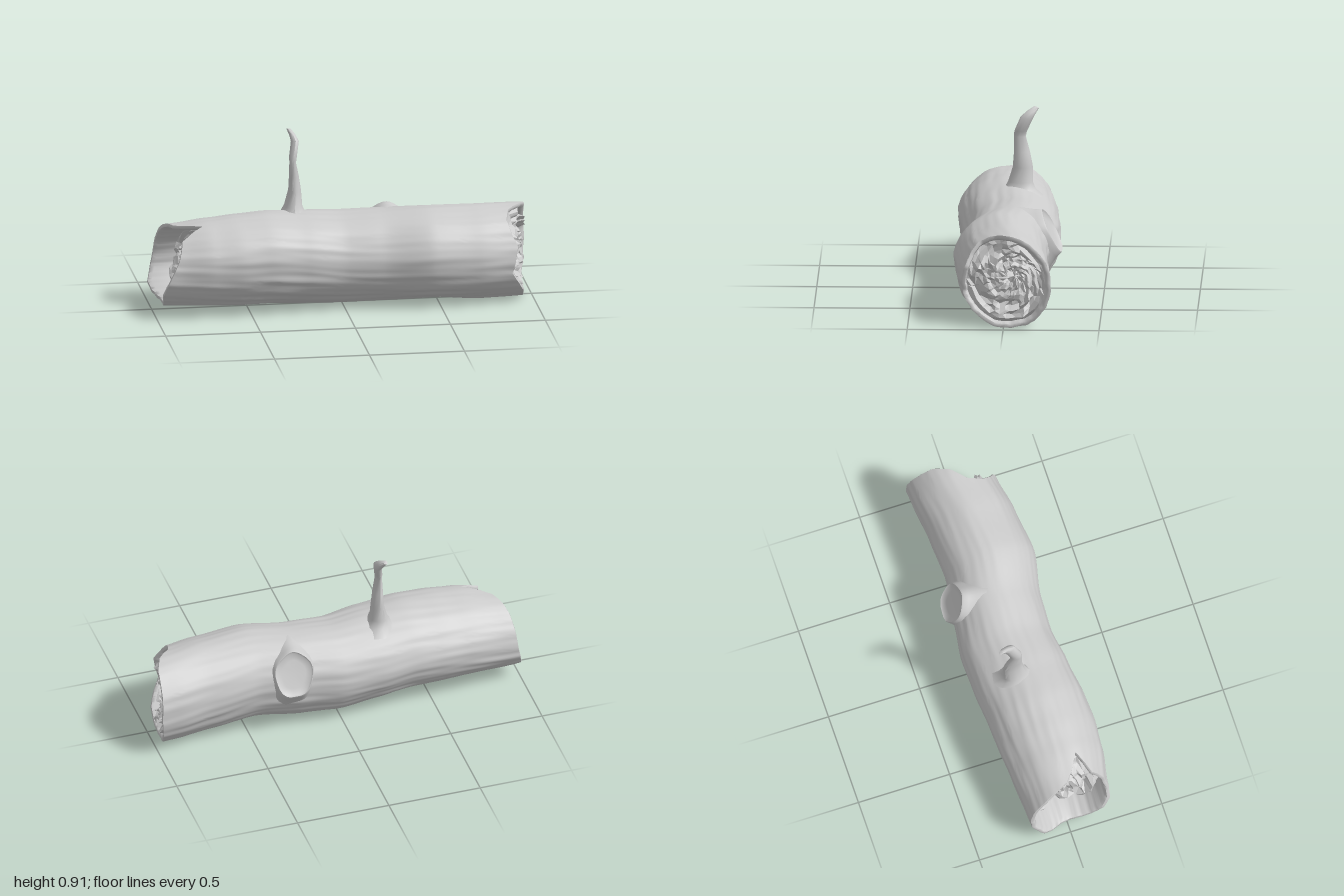
import * as THREE from 'three';
import { toCreasedNormals } from 'three/addons/utils/BufferGeometryUtils.js';

const { sin, cos, PI, floor, abs, pow } = Math;
const lerp = THREE.MathUtils.lerp;

// Trunk stations: x, centre y, centre z, half height, half depth
const stations = [
  [-1.05, 0.245, 0.01, 0.2, 0.21], [-0.9, 0.25, 0.015, 0.212, 0.225], [-0.7, 0.262, 0.024, 0.228, 0.25],
  [-0.55, 0.268, 0.022, 0.236, 0.261], [-0.4, 0.273, 0.014, 0.24, 0.26], [-0.2, 0.262, -0.006, 0.24, 0.257],
  [0, 0.25, -0.025, 0.24, 0.247], [0.2, 0.255, -0.012, 0.24, 0.238], [0.45, 0.267, 0.028, 0.24, 0.242],
  [0.7, 0.254, 0.012, 0.244, 0.236], [0.9, 0.248, -0.015, 0.243, 0.23], [1.05, 0.245, -0.03, 0.238, 0.225],
];

// Torn ends: angle in degrees (0 front, 90 top, 180 back, 270 bottom) and x of the edge
const leftEdge = [[0, -0.92], [20, -0.885], [35, -0.87], [50, -0.86], [62, -0.8], [70, -0.75], [80, -0.84],
  [90, -0.89], [110, -0.925], [128, -0.945], [150, -0.955], [180, -0.965], [205, -0.985], [222, -1],
  [238, -0.985], [255, -0.955], [270, -0.945], [300, -0.955], [325, -0.965], [342, -0.95], [360, -0.92]];
const rightEdge = [[0, 0.885], [18, 0.9], [35, 0.87], [55, 0.85], [75, 0.87], [92, 0.94], [112, 0.975],
  [150, 0.985], [180, 0.995], [215, 0.98], [250, 0.955], [280, 0.95], [310, 0.94], [328, 0.91],
  [345, 0.87], [360, 0.885]];

// Piecewise lookup of any number of columns, optionally eased
function lookup(table, t, ease) {
  let i = 0;
  while (i < table.length - 2 && t > table[i + 1][0]) i++;
  const [a, b] = [table[i], table[i + 1]];
  let k = THREE.MathUtils.clamp((t - a[0]) / (b[0] - a[0]), 0, 1);
  if (ease) k = lerp(k, k * k * (3 - 2 * k), 0.6);
  return a.slice(1).map((v, c) => lerp(v, b[c + 1], k));
}
const edgeAt = (table, a) => lookup(table, ((a * 180 / PI) + 360) % 360)[0];

// Lengthwise bark ridges that wander and fade along the trunk, roughest underneath
function bark(x, a) {
  const w = a + 0.1 * sin(2.3 * x + 1) + 0.03 * sin(7 * x + 2 * sin(a));
  const low = 0.7 - 0.3 * sin(a);
  return 0.012 * sin(3 * w + 2.6 * x) + 0.012 * sin(7 * w - 3 * x + 1) * sin(4 * x + 2 * sin(a))
    + 0.009 * low * sin(17 * w + 2 * x) * sin(5 * x + 3 * cos(a))
    + 0.008 * low * sin(29 * w) * sin(6 * x + 4 * sin(a) + 1)
    + 0.016 * low * (0.5 - abs(sin(11 * w + 1.5 * sin(3 * x + 1)))) * sin(3.5 * x + 3 * cos(a + 1));
}
function trunkPoint(x, a, scale = 1) {
  const [cy, cz, ry, rz] = lookup(stations, x, true);
  const k = scale * (1 + bark(x, a));
  return [x, cy + ry * k * sin(a), cz + rz * k * cos(a)];
}

// Skin a grid of rows, each row a closed loop of n points
function skin(rows, n, point) {
  const pos = [], index = [];
  for (let i = 0; i < rows; i++) for (let j = 0; j < n; j++) pos.push(...point(i, j));
  for (let i = 0; i < rows - 1; i++) {
    for (let j = 0; j < n; j++) {
      const a = i * n + j, b = i * n + (j + 1) % n;
      index.push(a, a + n, b, b, a + n, b + n);
    }
  }
  const g = new THREE.BufferGeometry();
  g.setAttribute('position', new THREE.Float32BufferAttribute(pos, 3));
  g.setIndex(index);
  g.computeVertexNormals();
  return g;
}

// Bark shell, folding over the torn rims into the hollow ends
function trunkGeometry() {
  const n = 144, len = 72;
  const lip = [[0.26, 0.8], [0.12, 0.85], [0.02, 0.88], [0, 0.92], [-0.003, 0.97]]; // inset, scale
  const rows = lip.length * 2 + len + 1;
  const g = skin(rows, n, (i, j) => {
    const a = j / n * PI * 2, L = edgeAt(leftEdge, a), R = edgeAt(rightEdge, a);
    if (i < lip.length) return trunkPoint(L + lip[i][0], a, lip[i][1]);
    const k = rows - 1 - i;
    if (k < lip.length) return trunkPoint(R - lip[k][0], a, lip[k][1]);
    return trunkPoint(lerp(L, R, (i - lip.length) / len), a);
  });
  return toCreasedNormals(g, 0.9);
}

// Seeded hash for the crumbled wood
const hash = (a, b) => { const s = sin(a * 127.1 + b * 311.7) * 43758.5453; return s - floor(s); };

// Splintered, faceted wood closing off a hollow end
function rottenCore(edge, side, inset, middle, rough) {
  const n = 40, rings = 13;
  return skin(rings, n, (i, j) => {
    const t = i / (rings - 1), r = side > 0 ? 1 - t : t; // row order keeps the face outward
    const loose = r < 0.95 && r > 0.02;
    const a = (j + (loose ? 1.2 * (hash(i, j) - 0.5) : 0)) / n * PI * 2;
    const base = lerp(middle, edgeAt(edge, a) - side * inset, pow(r, 1.5));
    const chunk = hash(floor(i / 2) + 5, floor((j + 2 * (floor(i / 2) % 2)) / 4)) + 0.5 * hash(i + 9, j) - 0.75;
    const [x, y, z] = trunkPoint(base + (loose ? chunk * rough : 0), a, 0.88 * r);
    return [x, y + 0.03 * (1 - r), z - 0.04 * (1 - r)];
  });
}

// Flared stub of a sawn-off limb with a shallow dished face
function knotGeometry() {
  const profile = [[1.5, -0.11], [1.24, -0.055], [1.07, -0.02], [1, 0.006], [0.95, 0.012], [0.88, 0.004],
    [0.6, 0], [0.001, 0]];
  const n = 40;
  const g = skin(profile.length, n, (i, j) => {
    const a = -j / n * PI * 2, [r, h] = profile[i];
    const wob = 1 + 0.05 * sin(2 * a + 1) + 0.03 * sin(5 * a);
    return [0.1 * r * wob * cos(a), 0.13 * r * wob * sin(a), h];
  });
  return toCreasedNormals(g, 0.8);
}

// Crooked dead branch: y, centre x, centre z, half width, half depth
const branchRings = [
  [0.45, -0.245, -0.055, 0.1, 0.12], [0.485, -0.247, -0.055, 0.066, 0.083], [0.52, -0.246, -0.058, 0.047, 0.065],
  [0.6, -0.238, -0.068, 0.033, 0.053], [0.68, -0.243, -0.061, 0.026, 0.042], [0.76, -0.25, -0.05, 0.017, 0.031],
  [0.79, -0.247, -0.055, 0.02, 0.033], [0.86, -0.232, -0.087, 0.021, 0.03], [0.89, -0.243, -0.112, 0.016, 0.022],
  [0.915, -0.259, -0.138, 0.011, 0.013], [0.917, -0.26, -0.139, 0.0005, 0.0005],
];
function branchGeometry() {
  const n = 12;
  const g = skin(branchRings.length, n, (i, j) => {
    const a = -j / n * PI * 2, [y, x, z, rx, rz] = branchRings[i];
    const k = 1 + 0.06 * sin(3 * a + i);
    const tilt = i > 6 ? 0.35 * rz * cos(a) : 0; // rings lean with the bend
    return [x + rx * k * sin(a), y + tilt, z + rz * k * cos(a)];
  });
  return toCreasedNormals(g, 0.9);
}

export function createModel() {
  const model = new THREE.Group();
  model.name = 'hollowLog';
  const add = (name, geometry, flatShading = false) => {
    const mesh = new THREE.Mesh(geometry, new THREE.MeshStandardMaterial({ color: 0xcccccc, flatShading }));
    mesh.name = name;
    model.add(mesh);
    return mesh;
  };

  add('trunk', trunkGeometry());
  add('rightRottenCore', rottenCore(rightEdge, 1, 0.03, 0.92, 0.07), true);
  add('leftRottenCore', rottenCore(leftEdge, -1, 0.13, -0.8, 0.07), true);

  const knot = add('knot', knotGeometry());
  knot.position.set(0.27, 0.37, -0.226);
  knot.lookAt(0.27 + 0.1, 0.37 + 0.45, -0.226 - 0.9);

  add('branch', branchGeometry());
  return model;
}
